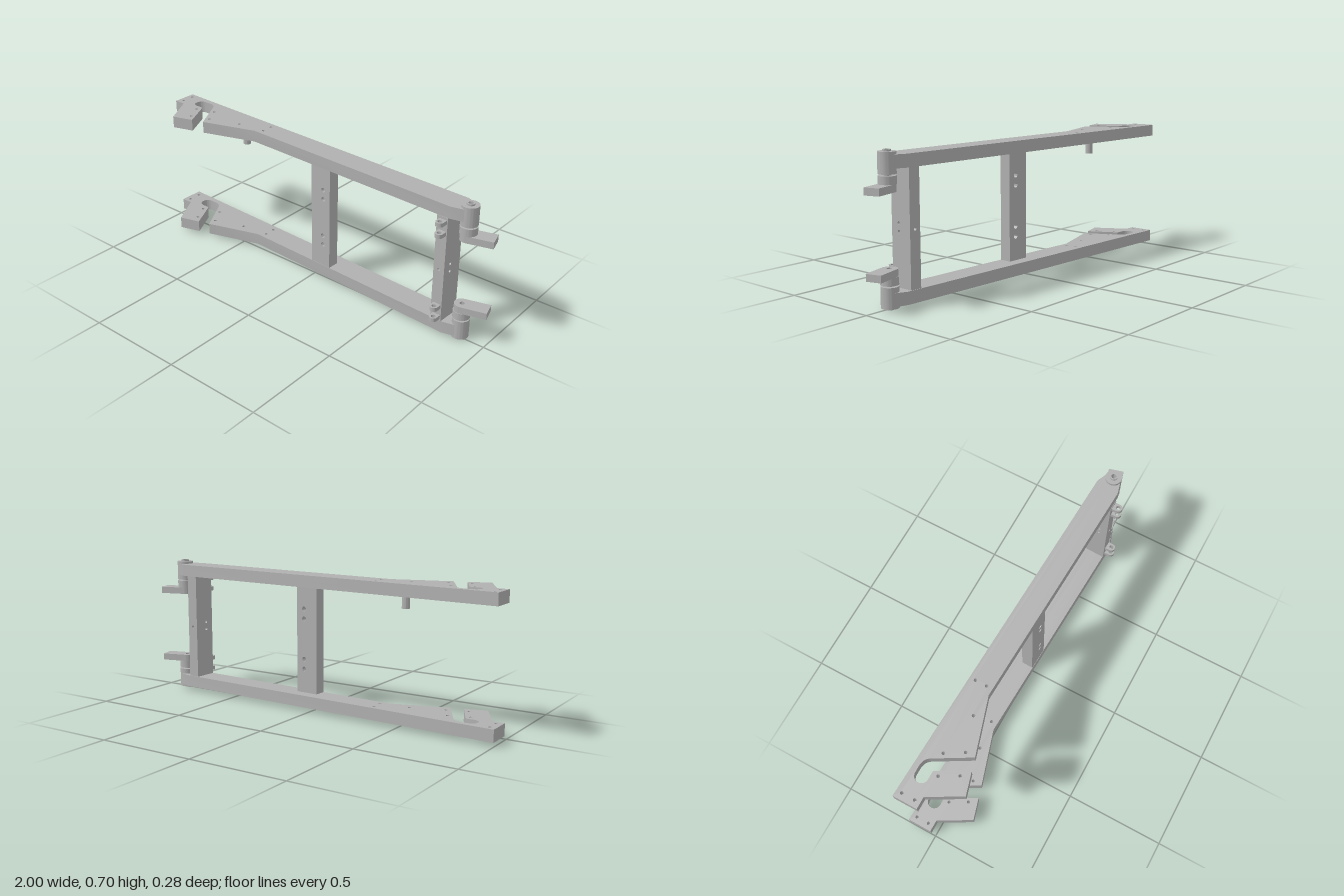
import * as THREE from 'three';
import { toCreasedNormals } from 'three/addons/utils/BufferGeometryUtils.js';

const HEIGHT = 0.702;          // overall height, used to mirror the lower parts
const SLOPE = -0.042;          // the frame runs slightly skewed to x
const HINGE = [0.868, -0.006]; // hinge axis (x, z)

export function createModel() {
  const root = new THREE.Group();
  root.name = 'hingedFrame';
  const steel = new THREE.MeshStandardMaterial({ color: 0xb0b0b0 });
  steel.name = 'grey steel';

  function add(parent, name, geometry) {
    const mesh = new THREE.Mesh(toCreasedNormals(geometry, 0.6), steel);
    mesh.name = name;
    parent.add(mesh);
    return mesh;
  }

  function addHoles(shape, holes, r) {
    for (const [x, y] of holes) {
      const p = new THREE.Path();
      p.absarc(x, y, r, 0, Math.PI * 2, true);
      shape.holes.push(p);
    }
    return shape;
  }

  const extrude = (shape, depth) =>
    new THREE.ExtrudeGeometry(shape, { depth, bevelEnabled: false, curveSegments: 16 });

  // Plan shapes are drawn as (x, -z) and raised from y0 to y1
  const raise = (shape, y0, y1) => extrude(shape, y1 - y0).rotateX(-Math.PI / 2).translate(0, y0, 0);

  function rect(x0, y0, x1, y1) {
    return new THREE.Shape([[x0, y0], [x1, y0], [x1, y1], [x0, y1]].map(p => new THREE.Vector2(...p)));
  }

  // Vertical sleeve with an open bore
  function ring(outer, inner, y0, y1) {
    const pts = [[inner, y0], [outer, y0], [outer, y1], [inner, y1], [inner, y0]];
    return new THREE.LatheGeometry(pts.map(p => new THREE.Vector2(...p)), 40).translate(HINGE[0], 0, HINGE[1]);
  }

  // Side arm with the hooked slot at its free end
  const arm = new THREE.Shape();
  arm.moveTo(-1, 0.145);
  arm.lineTo(-1, 0.022);
  arm.lineTo(-0.94, 0.022);
  arm.lineTo(-0.85, -0.138);
  arm.lineTo(-0.742, -0.106);
  arm.lineTo(-0.815, 0.036);
  arm.quadraticCurveTo(-0.82, 0.045, -0.83, 0.045);
  arm.lineTo(-0.863, 0.045);
  arm.absarc(-0.863, 0.078, 0.033, -Math.PI / 2, Math.PI / 2, true);
  arm.lineTo(-0.825, 0.111);
  arm.quadraticCurveTo(-0.793, 0.108, -0.778, 0.083);
  arm.lineTo(-0.68, -0.088);
  arm.lineTo(-0.4, 0);
  arm.lineTo(0.8, -0.05);
  arm.lineTo(0.88, -0.03);
  arm.lineTo(0.885, 0.042);
  arm.lineTo(0.82, 0.07);
  addHoles(arm, [[-0.97, 0.115], [-0.97, 0.05], [-0.83, 0.013], [-0.783, -0.072], [-0.73, 0.045],
    [-0.68, -0.04], [-0.516, 0.013], [-0.366, 0.088], [-0.366, 0.03]], 0.008);
  // Clearance for the hinge bore
  addHoles(arm, [[HINGE[0], -HINGE[1]]], 0.015);

  // Hinge tab: rounded around the axis, square at the tip
  const tab = new THREE.Shape();
  tab.moveTo(0.125, 0.038);
  tab.lineTo(0, 0.038);
  tab.absarc(0, 0, 0.038, Math.PI / 2, Math.PI * 1.5, false);
  tab.lineTo(0.125, -0.038);
  addHoles(tab, [[0, 0]], 0.012);

  // Small eye lug on the end post
  const eye = new THREE.Shape();
  eye.moveTo(-0.02, 0.03);
  eye.lineTo(-0.02, 0);
  eye.absarc(0, 0, 0.02, Math.PI, Math.PI * 2, false);
  eye.lineTo(0.02, 0.03);
  addHoles(eye, [[0, 0]], 0.011);

  for (const upper of [false, true]) {
    const side = new THREE.Group();
    side.name = upper ? 'upperSide' : 'lowerSide';
    root.add(side);
    const span = (a, b) => (upper ? [HEIGHT - b, HEIGHT - a] : [a, b]);

    add(side, 'arm', raise(arm, ...span(0.02, 0.08)));
    add(side, 'hingeBarrel', ring(0.041, 0.015, ...span(0.008, 0.105)));
    add(side, 'hingeBushing', ring(0.019, 0.012, ...span(0, 0.15)));
    add(side, 'tabCollar', ring(0.041, 0.015, ...span(0.112, 0.149)));
    const [t0, t1] = span(0.149, 0.183);
    add(side, 'hingeTab', raise(tab, t0, t1).rotateY(0.27).translate(HINGE[0], 0, HINGE[1]));
    for (const y of [0.102, 0.159]) {
      const [e0, e1] = span(y - 0.01, y + 0.01);
      add(side, 'eyeLug', raise(eye, e0, e1).translate(0.77, 0, 0.077));
    }
  }

  // Middle crossbar with four through holes
  const bar = addHoles(rect(-0.059, 0.08, 0.059, 0.622),
    [0.505, 0.455, 0.25, 0.2].map(y => [0.016, y]), 0.012);
  const crossbar = add(root, 'middleCrossbar', extrude(bar, 0.06).translate(0, 0, -0.03));
  crossbar.position.set(0.05, 0, -0.013);
  crossbar.rotation.y = SLOPE;

  // End post in three blocks: the outer two bored along x, the middle one along z
  const post = new THREE.Group();
  post.name = 'endPost';
  post.position.set(0.768, 0, -0.009);
  post.rotation.y = SLOPE;
  root.add(post);
  for (const [y0, y1, hole] of [[0.08, 0.341, 0.332], [0.359, 0.622, 0.371]]) {
    const shape = addHoles(rect(-0.06, y0, 0.06, y1), [[-0.014, hole]], 0.0075);
    add(post, 'postBlock', extrude(shape, 0.058).rotateY(Math.PI / 2).translate(-0.029, 0, 0));
  }
  const middle = addHoles(rect(-0.029, 0.341, 0.029, 0.359), [[0, 0.35]], 0.0075);
  add(post, 'postMiddle', extrude(middle, 0.12).translate(0, 0, -0.06));

  // Stop peg beneath the upper arm
  add(root, 'stopPeg', new THREE.CylinderGeometry(0.019, 0.019, 0.065, 32).translate(-0.512, 0.5925, -0.06));

  return root;
}
